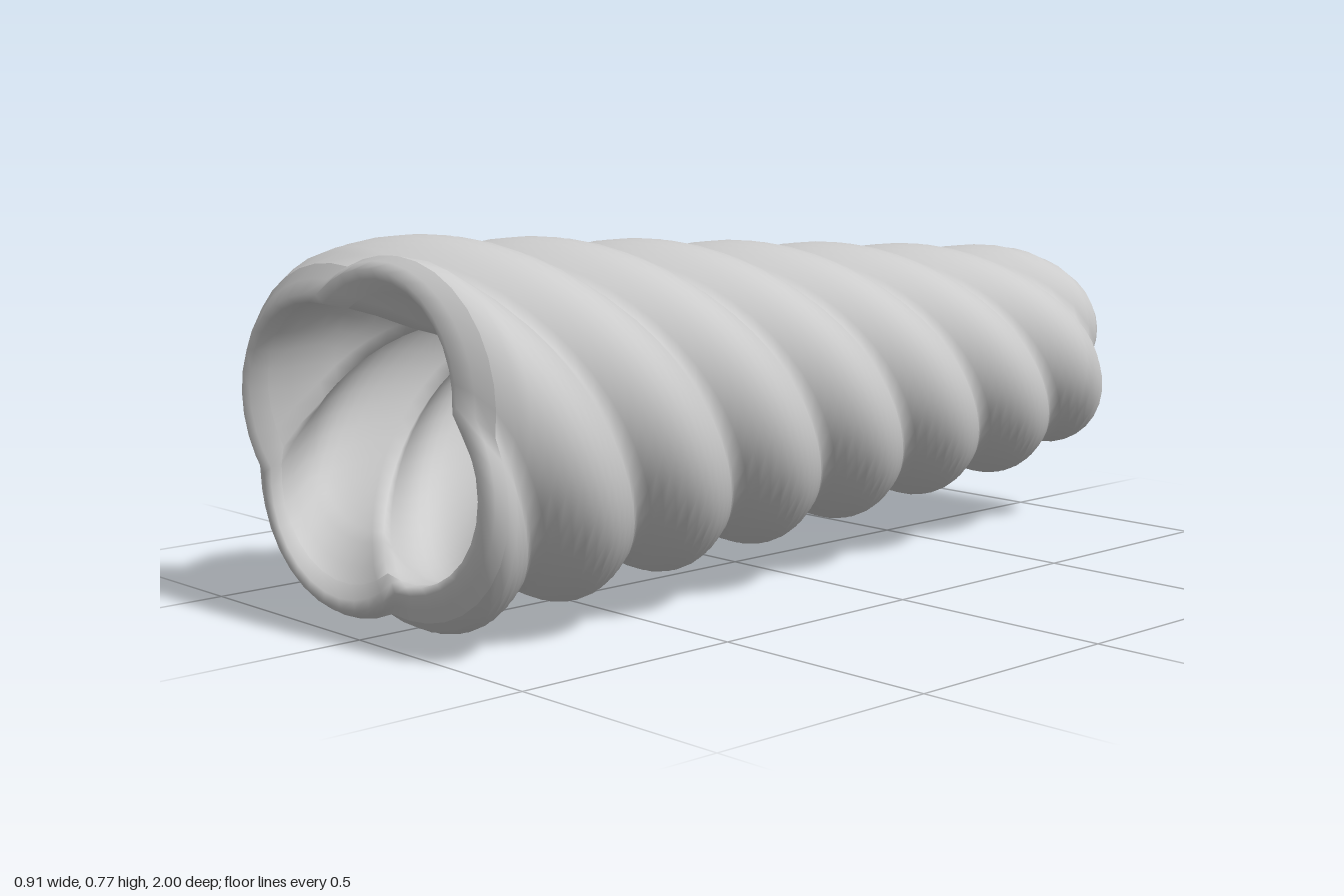
import * as THREE from 'three';

const SIDES = 48, RX = 0.455, RY = 0.385, CY = 0.393;
const material = new THREE.MeshStandardMaterial({ color: 0xcccccc });

// Four lobes make a quarter turn every 0.275 along the length.
const twist = (z) => (Math.PI / 2) * (z - 0.8) / 0.275;
const taper = (z) => 1 - 0.173 * (0.8 - z);

// Lofts through sections { z, valley, lobe }: groove radius and extra radius at the lobes.
function loft(name, sections) {
  const positions = [], index = [];
  for (const { z, valley, lobe } of sections) {
    for (let j = 0; j < SIDES; j++) {
      const a = (j / SIDES) * Math.PI * 2;
      const r = taper(z) * (valley + lobe * Math.abs(Math.cos(2 * a)));
      const phi = a + twist(z);
      positions.push(RX * r * Math.cos(phi), CY + RY * r * Math.sin(phi), z);
    }
  }
  for (let i = 0; i < sections.length - 1; i++) {
    for (let j = 0; j < SIDES; j++) {
      const k = (j + 1) % SIDES;
      const a = i * SIDES + j, b = i * SIDES + k;
      const c = a + SIDES, d = b + SIDES;
      index.push(a, b, d, a, d, c);
    }
  }
  const geometry = new THREE.BufferGeometry();
  geometry.setAttribute('position', new THREE.Float32BufferAttribute(positions, 3));
  geometry.setIndex(index);
  geometry.computeVertexNormals();
  const mesh = new THREE.Mesh(geometry, material);
  mesh.name = name;
  return mesh;
}

const section = (z, valley, lobe) => ({ z, valley, lobe });

// Evenly spaced sections of constant shape between two depths.
function run(z0, z1, steps, valley, lobe) {
  return Array.from({ length: steps + 1 }, (_, i) =>
    section(z0 + (z1 - z0) * i / steps, valley, lobe));
}

export function createModel() {
  const group = new THREE.Group();
  group.name = 'twistedTube';

  // Flat closed end
  group.add(loft('endCap', [
    section(-1, 0.001, 0), section(-1, 0.4, 0.16), section(-1, 0.58, 0.21),
  ]));

  // Ribbed outside, rounded into the closed end
  group.add(loft('outerShell', [
    section(-1, 0.58, 0.21),
    section(-0.99, 0.66, 0.2),
    section(-0.97, 0.74, 0.18),
    section(-0.94, 0.8, 0.165),
    section(-0.9, 0.845, 0.15),
    ...run(-0.86, 0.94, 72, 0.855, 0.145),
    section(0.965, 0.84, 0.13),
  ]));

  // Rounded lip around the open end
  group.add(loft('rim', [
    section(0.965, 0.84, 0.13),
    section(0.985, 0.79, 0.13),
    section(1, 0.73, 0.14),
    section(0.995, 0.68, 0.15),
    section(0.97, 0.64, 0.16),
  ]));

  // Ribbed inside wall
  group.add(loft('innerWall', [
    section(0.97, 0.64, 0.16),
    section(0.94, 0.6, 0.18),
    ...run(0.9, -0.86, 70, 0.56, 0.19),
    section(-0.88, 0.54, 0.17),
  ]));

  // Floor inside the closed end
  group.add(loft('innerFloor', [
    section(-0.88, 0.54, 0.17), section(-0.88, 0.001, 0),
  ]));

  return group;
}
